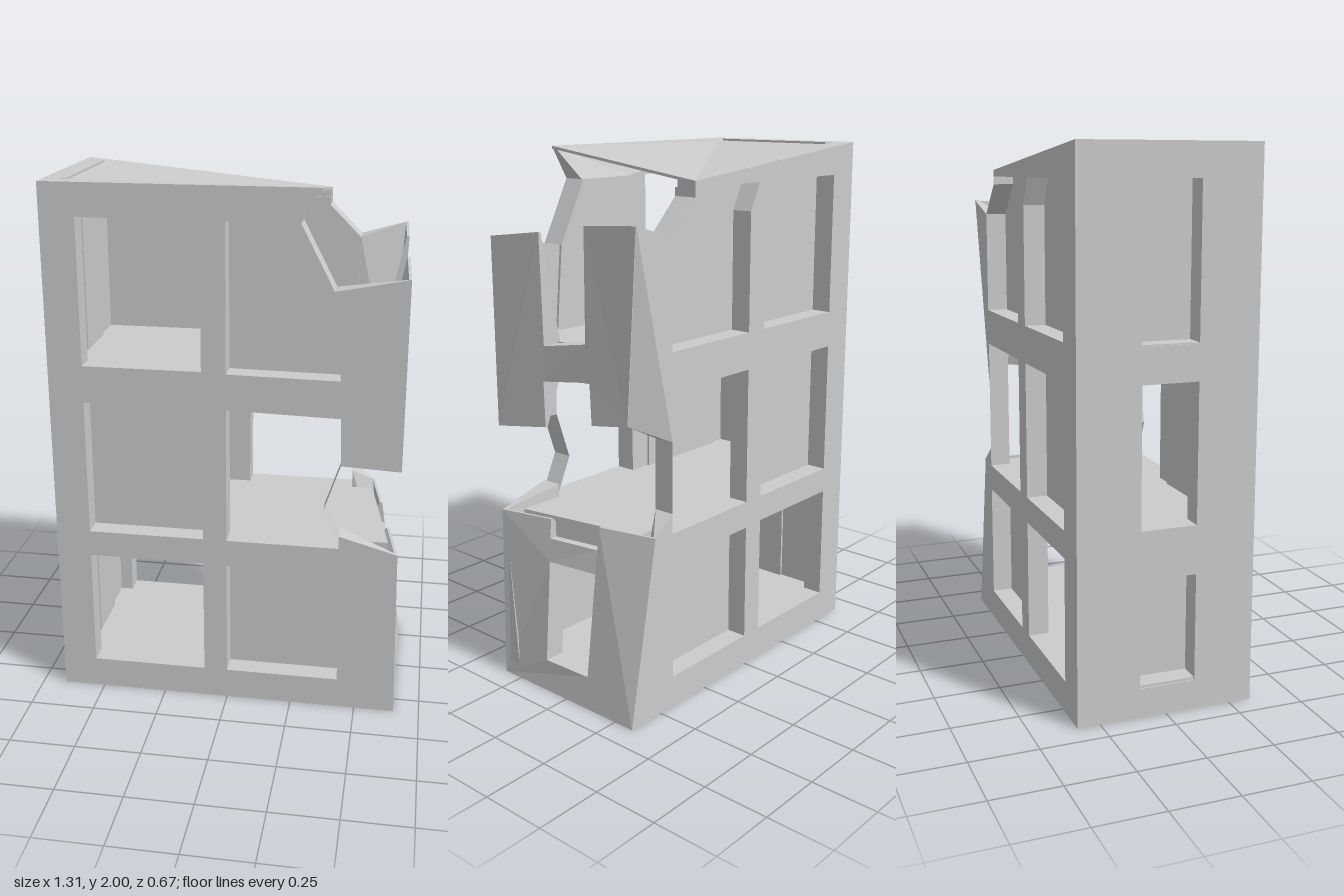
import * as THREE from 'three';

const T = 0.08;          // wall thickness
const D = 0.335;         // half depth
const THIN = 0.01;       // torn edges and panels
const mat = new THREE.MeshStandardMaterial({ color: 0xcccccc, flatShading: true, side: THREE.DoubleSide });
const lerp = THREE.MathUtils.lerp;

const rect = (x0, y0, x1, y1) => [[x0, y0], [x1, y0], [x1, y1], [x0, y1]];
const vecs = (pts) => pts.map(([x, y]) => new THREE.Vector2(x, y));

// Flat outline with holes, given a depth along z
function slab(outline, holes, depth) {
  const shape = new THREE.Shape(vecs(outline));
  for (const h of holes) shape.holes.push(new THREE.Path(vecs(h)));
  return new THREE.ExtrudeGeometry(shape, { depth, bevelEnabled: false });
}

// Move every vertex by a rule
function warp(geo, rule) {
  const p = geo.attributes.position;
  const v = new THREE.Vector3();
  for (let i = 0; i < p.count; i++) {
    rule(v.fromBufferAttribute(p, i));
    p.setXYZ(i, v.x, v.y, v.z);
  }
  geo.computeVertexNormals();
  return geo;
}

export function createModel() {
  const model = new THREE.Group();
  model.name = 'ruinedBuilding';
  const add = (name, geo) => {
    const m = new THREE.Mesh(geo, mat);
    m.name = name;
    model.add(m);
  };

  // Window openings on the long walls
  const lowLeft = rect(-0.53, 0.12, -0.09, 0.58);
  const lowRight = rect(0, 0.12, 0.43, 0.575);
  const midLeft = rect(-0.53, 0.68, -0.09, 1.2);
  const topLeft = rect(-0.53, 1.34, -0.09, 1.88);
  const topLeftBack = [[-0.53, 1.34], [-0.09, 1.34], [-0.09, 1.78], [-0.14, 1.88], [-0.53, 1.88]];

  // Front wall, broken open at the right and torn thin at its outer corners
  const frontWall = slab([
    [-0.66, 0], [0.65, 0], [0.635, 0.67], [0.42, 0.73], [0.42, 0.68], [0, 0.68], [0, 1.2],
    [0.415, 1.19], [0.42, 1.01], [0.635, 1.0], [0.635, 1.7], [0.38, 1.65], [0.41, 1.33],
    [0, 1.335], [0, 1.88], [0.26, 1.88], [0.33, 2], [-0.66, 2],
  ], [lowLeft, lowRight, midLeft, topLeft], T).translate(0, 0, D - T);
  add('frontWall', warp(frontWall, (v) => {
    if ((v.x > 0.5 && v.y > 0.6) || (v.x > 0.3 && v.y > 1.9)) v.z = Math.max(v.z, D - THIN);
  }));

  // Back wall, with the hanging corner cut to a slanted facet
  const backWall = slab([
    [-0.66, 0], [0.65, 0], [0.52, 0.69], [0.43, 0.755], [0.43, 0.68], [0, 0.68], [0, 1.2],
    [0.43, 1.2], [0.43, 1.02], [0.568, 1.09], [0.604, 1.78], [0.43, 1.73], [0.43, 1.34],
    [0, 1.34], [0, 1.78], [-0.05, 1.88], [0.31, 1.88], [0.31, 1.905], [-0.66, 2],
  ], [lowLeft, lowRight, midLeft, topLeftBack], T).translate(0, 0, -D);
  add('backWall', warp(backWall, (v) => {
    if (Math.abs(v.x - 0.568) < 0.002) {
      if (v.z < -0.3) v.set(0.43, 1.02, v.z);
    } else if (v.x > 0.5 && v.y > 0.6) v.z = Math.min(v.z, THIN - D);
  }));

  // Intact side wall; side outlines are drawn with -z to the right
  const sideHoles = [[0.11, 0.51], [0.69, 1.2], [1.33, 1.88]].map(([a, b]) => rect(-0.11, a, 0.1, b));
  add('rightWall', slab(rect(-D + T, 0, D - T, 2), sideHoles, T)
    .rotateY(Math.PI / 2).translate(-0.66, 0, 0));

  // Lower broken side wall, leaning inward toward the back, thin along its top
  const lowerSide = slab([
    [-D, 0], [D, 0], [D, 0.69], [0.1, 0.685], [0.1, 0.6], [-0.11, 0.6], [-0.11, 0.675], [-D, 0.67],
  ], [rect(-0.11, 0.12, 0.1, 0.51)], T).rotateY(Math.PI / 2);
  add('leftLowerWall', warp(lowerSide, (v) => {
    if (v.y > 0.65) v.x = Math.max(v.x, T - THIN);
    v.x += 0.653 - T - (v.y / 0.68) * lerp(0.015, 0.13, (D - v.z) / (2 * D));
  }));

  // Upper broken side wall: two piers joined by a band, thin at both ends
  const upperSide = slab([
    [-D, 1.0], [-0.11, 1.03], [-0.11, 1.2], [0.1, 1.225], [0.1, 1.07], [0.255, 1.09],
    [D, 1.78], [0.11, 1.765], [0.09, 1.36], [-0.1, 1.33], [-0.1, 1.73], [-D, 1.7],
  ], [], T).rotateY(Math.PI / 2);
  add('leftUpperWall', warp(upperSide, (v) => {
    if (v.y < 1.15 || v.y > 1.5) v.x = Math.max(v.x, T - THIN);
    v.x += 0.638 - T - ((D - v.z) / (2 * D)) * lerp(0.075, 0.031, (v.y - 1.09) / 0.69);
  }));

  // Floors: plan outline from the right end to the broken end
  const zi = D - T;
  const level = (name, y0, y1, xFront, xBack) => add(name,
    slab([[-0.655, -zi], [xFront, -zi], [xBack, zi], [-0.655, zi]], [], y1 - y0)
      .rotateX(-Math.PI / 2).translate(0, y0, 0));
  level('groundFloor', 0, 0.12, 0.6, 0.6);
  level('middleFloor', 0.58, 0.68, 0.6, 0.515);
  level('upperFloor', 1.2, 1.335, 0.56, 0.52);

  // Thin roof, sagging at its broken back corner
  const roof = slab([[-0.66, -D], [0.33, -D], [0.31, D], [-0.66, D]], [], THIN)
    .rotateX(-Math.PI / 2).translate(0, 2 - THIN, 0);
  add('roof', warp(roof, (v) => { if (v.x > 0 && v.z < 0) v.y -= 0.095; }));

  // Recessed infill panels, level with the inner wall faces
  const frontTop = [[0, 1.335], [0.41, 1.33], [0.38, 1.65], [0.26, 1.88], [0, 1.88]];
  const backTop = [[0, 1.34], [0.43, 1.34], [0.43, 1.73], [0.31, 1.85], [0.31, 1.88], [-0.05, 1.88], [0, 1.78]];
  for (const o of [midLeft, lowRight, frontTop]) add('frontPanel', slab(o, [], THIN).translate(0, 0, zi - THIN));
  for (const o of [topLeftBack, midLeft, lowRight, backTop]) add('backPanel', slab(o, [], THIN).translate(0, 0, -zi));
  for (const i of [0, 2]) {
    add('rightPanel', slab(sideHoles[i], [], THIN).rotateY(Math.PI / 2).translate(-0.66 + T, 0, 0));
  }

  // Thin strips left standing along the broken window edges
  const strip = (name, points, z) => {
    for (let i = 1; i < points.length; i++) {
      const [[x0, y0], [x1, y1]] = [points[i - 1], points[i]];
      add(name, new THREE.PlaneGeometry(T, Math.hypot(x1 - x0, y1 - y0)).rotateY(Math.PI / 2)
        .rotateZ(Math.atan2(x0 - x1, y1 - y0)).translate((x0 + x1) / 2, (y0 + y1) / 2, z));
    }
  };
  const zm = D - T / 2;
  strip('frontJamb', [[0.42, 0.7], [0.36, 0.83], [0.42, 1.01]], zm);
  strip('backJamb', [[0.43, 0.7], [0.43, 1.05]], -zm);
  strip('frontBrokenEdge', [[0.38, 1.65], [0.26, 1.88]], zm);
  strip('backBrokenEdge', [[0.43, 1.73], [0.31, 1.85], [0.31, 1.9]], -zm);

  return model;
}
